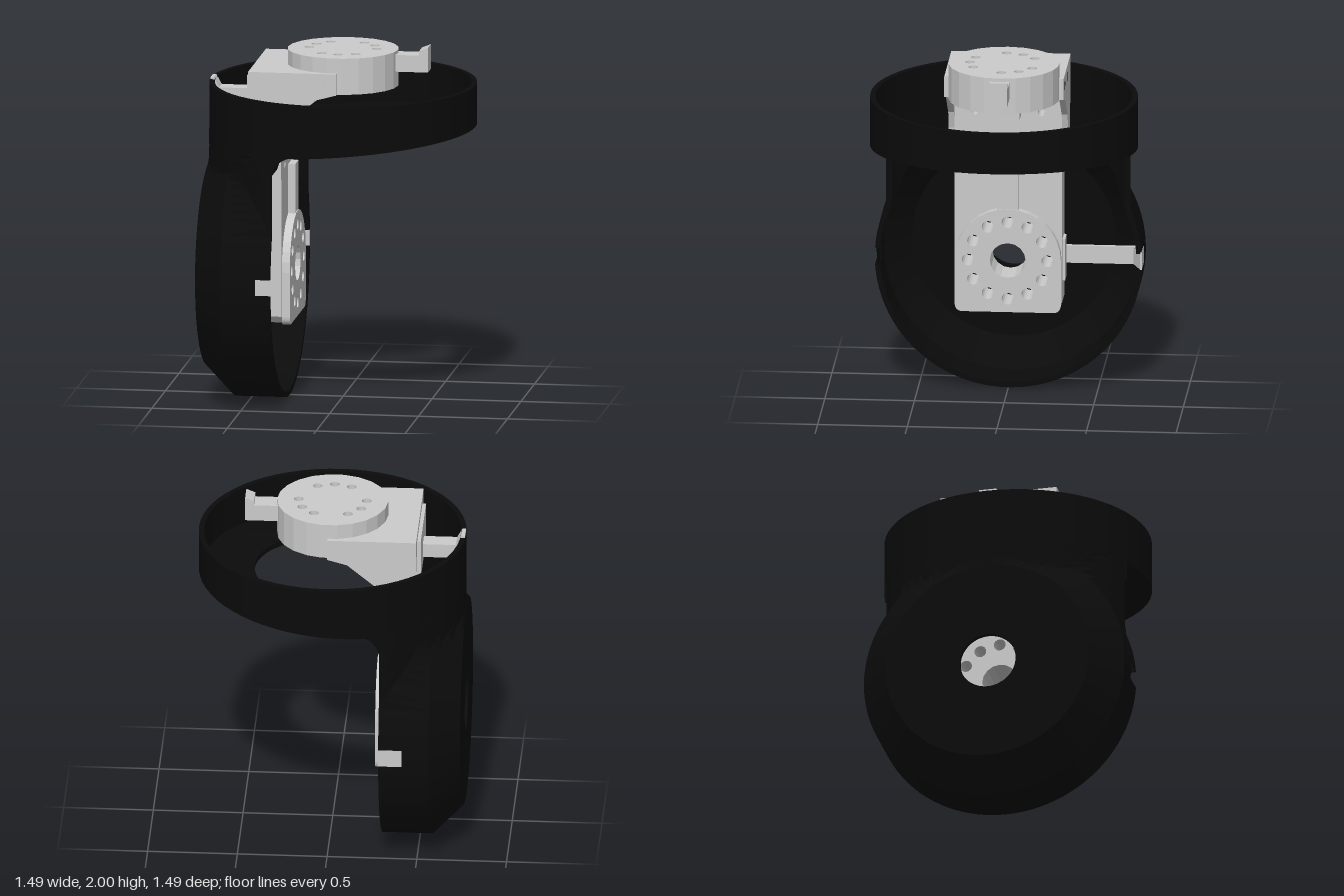
import * as THREE from 'three';

const grey = new THREE.MeshStandardMaterial({ color: 0xcccccc, flatShading: true });
const black = new THREE.MeshStandardMaterial({ color: 0x0b0b0b, flatShading: true, side: THREE.DoubleSide });
const R = 0.745, WALL = 0.03, FRONT = -0.3, AXIS = 0.745;

function add(parent, name, geometry, material = grey) {
  const mesh = new THREE.Mesh(geometry, material);
  mesh.name = name;
  parent.add(mesh);
  return mesh;
}

// Box given by its minimum and maximum on each axis
function box(parent, name, x0, x1, y0, y1, z0, z1) {
  add(parent, name, new THREE.BoxGeometry(x1 - x0, y1 - y0, z1 - z0))
    .position.set((x0 + x1) / 2, (y0 + y1) / 2, (z0 + z1) / 2);
}

const polygon = pts => new THREE.Shape(pts.map(p => new THREE.Vector2(...p)));

function punch(shape, x, y, r) {
  shape.holes.push(new THREE.Path().absarc(x, y, r, 0, Math.PI * 2, true));
}

function extrude(shape, depth, segments = 8) {
  return new THREE.ExtrudeGeometry(shape, { depth, bevelEnabled: false, curveSegments: segments });
}

// Outline drawn in (-z, y), extruded along x from x0 to x1
function extrudeX(shape, x0, x1) {
  return extrude(shape, x1 - x0).rotateY(Math.PI / 2).translate(x0, 0, 0);
}

// Round cup merged with the half-round neck above it, as an inner and outer skin
function housingGeometry() {
  const N = 96, pos = [], index = [];
  const column = (phi, off) => {
    const r = R - off, half = Math.sqrt(r * r - FRONT * FRONT), flat = 0.58 - off * 0.4;
    const c = Math.cos(phi), s = Math.sin(phi);
    const neck = s > 0 ? Math.min(half / Math.max(Math.abs(c), 1e-6), 0.775 / s) : 0;
    const edge = Math.max(r, neck);
    const radii = [0.16, 0.3, 0.45, flat, 0.63, 0.69, r];
    for (let i = 1; i <= 4; i++) radii.push(r + (edge - r) * i / 4);
    const pts = radii.map(q => {
      const z = q * c, y = q * s;
      const cup = q > r + 1e-6 ? FRONT
        : -R + off + Math.max(0, q - flat) / (r - flat) * 0.165;
      const round = y > 0 ? -Math.sqrt(Math.max(0.09, r * r - z * z)) : FRONT;
      return [Math.min(cup, round), AXIS + y, z];
    });
    const last = pts[pts.length - 1];
    for (const x of [-0.43, FRONT]) pts.push([neck > r ? last[0] : x, last[1], last[2]]);
    return pts;
  };
  let rows = 0;
  for (let i = 0; i < N; i++) {
    const phi = i / N * Math.PI * 2;
    const loop = [...column(phi, 0), ...column(phi, WALL).reverse()];
    rows = loop.length;
    pos.push(...loop.flat());
  }
  const half = rows / 2;
  for (let i = 0; i < N; i++) {
    // a slot on either side of the rim
    const slot = [0, 47, 48, 95].includes(i);
    for (let k = 0; k < rows; k++) {
      if (slot && k >= half - 2 && k <= half) continue;
      const a = i * rows + k, b = i * rows + (k + 1) % rows;
      const j = (i + 1) % N, c = j * rows + k, d = j * rows + (k + 1) % rows;
      index.push(a, c, b, b, c, d);
    }
  }
  const g = new THREE.BufferGeometry();
  g.setAttribute('position', new THREE.Float32BufferAttribute(pos, 3));
  g.setIndex(index);
  g.computeVertexNormals();
  return g;
}

// Underside of the ring rises slightly away from the neck
const slopeY = x => 1.48 + Math.max(0, x + 0.18) * 0.076;

function buildShell(root) {
  const shell = new THREE.Group();
  shell.name = 'shell';
  root.add(shell);
  add(shell, 'wheelHousing', housingGeometry(), black);

  // Ring wall
  const profile = [[R, 0], [R, 1], [R - WALL, 1], [R - WALL, 0], [R, 0]].map(p => new THREE.Vector2(...p));
  const wall = new THREE.LatheGeometry(profile, 64);
  const p = wall.attributes.position;
  for (let i = 0; i < p.count; i++) p.setY(i, p.getY(i) > 0.5 ? 1.785 : slopeY(p.getX(i)));
  wall.computeVertexNormals();
  add(shell, 'ringWall', wall, black);

  // Ring floor with a U-shaped opening
  const a = Math.acos(FRONT / R), floor = new THREE.Shape();
  floor.absarc(0, 0, R - 0.01, -a, a, false);
  floor.lineTo(FRONT, 0.46);
  floor.lineTo(-0.27, 0.44);
  floor.lineTo(0, 0.435);
  floor.absarc(0, 0, 0.435, Math.PI / 2, -Math.PI / 2, true);
  floor.lineTo(-0.27, -0.44);
  floor.lineTo(FRONT, -0.46);
  const fg = extrude(floor, WALL, 40).rotateX(-Math.PI / 2);
  const fp = fg.attributes.position;
  for (let i = 0; i < fp.count; i++) fp.setY(i, fp.getY(i) + slopeY(fp.getX(i)));
  fg.computeVertexNormals();
  add(shell, 'ringFloor', fg, black);

  // Curved corners from neck to ring
  for (const side of [1, -1]) {
    const fillet = new THREE.Shape();
    fillet.moveTo(FRONT, 1.37);
    fillet.quadraticCurveTo(-0.28, 1.47, -0.17, 1.482);
    fillet.lineTo(-0.17, 1.5);
    fillet.lineTo(FRONT, 1.5);
    add(shell, 'neckFillet', extrude(fillet, 0.23), black).position.z = side > 0 ? 0.46 : -0.69;
  }
}

function boltCircle(shape) {
  punch(shape, 0, 0.75, 0.1);
  for (let i = 0; i < 12; i++) {
    const t = i * Math.PI / 6;
    punch(shape, 0.222 * Math.cos(t), 0.75 + 0.222 * Math.sin(t), 0.034);
  }
}

function buildLowerDrive(root) {
  const drive = new THREE.Group();
  drive.name = 'lowerDrive';
  root.add(drive);

  // Upright body
  const body = polygon([[-0.26, 0.46], [0.26, 0.46], [0.3, 0.5], [0.3, 1.79], [-0.3, 1.79], [-0.3, 0.5]]);
  boltCircle(body);
  for (const x of [-0.185, 0.185]) for (const y of [1.345, 1.6]) punch(body, x, y, 0.02);
  add(drive, 'uprightBody', extrudeX(body, -0.45, FRONT));

  // Arched mounting face
  const face = new THREE.Shape();
  face.moveTo(-0.26, 0.45);
  face.lineTo(0.26, 0.45);
  face.quadraticCurveTo(0.295, 0.455, 0.297, 0.5);
  face.lineTo(0.297, 0.75);
  face.absarc(0, 0.75, 0.297, 0, Math.PI, false);
  face.lineTo(-0.297, 0.5);
  face.quadraticCurveTo(-0.295, 0.455, -0.26, 0.45);
  boltCircle(face);
  add(drive, 'mountingFace', extrudeX(face, FRONT, -0.255));
  box(drive, 'rib', FRONT, -0.26, 1.0, 1.32, -0.06, 0.06);
  box(drive, 'upperBlock', FRONT, -0.2, 1.58, 1.7, -0.07, 0.07);

  // Side arm with a hooked tip
  box(drive, 'armBase', -0.43, -0.33, 0.62, 0.86, -0.315, -0.3);
  const arm = polygon([[-0.43, 0.3], [-0.405, 0.3], [-0.405, 0.69], [FRONT, 0.735], [FRONT, 0.745], [-0.43, 0.745]]);
  add(drive, 'sideArm', extrude(arm, 0.1).rotateX(-Math.PI / 2)).position.y = 0.7;
}

function buildUpperDrive(root) {
  const drive = new THREE.Group();
  drive.name = 'upperDrive';
  root.add(drive);
  box(drive, 'bracketTop', -0.485, 0, 1.77, 1.89, -0.3, 0.3);
  box(drive, 'backPlate', -0.505, -0.45, 1.62, 1.85, -0.23, 0.23);

  // Gusseted side plates
  const side = polygon([[-0.485, 1.89], [0.01, 1.89], [0.01, 1.77], [-0.1, 1.74], [-0.27, 1.6],
    [FRONT, 1.5], [FRONT, 1.28], [-0.45, 1.28], [-0.45, 1.6], [-0.485, 1.7]]);
  for (const x of [-0.24, -0.08]) punch(side, x, 1.83, 0.028);
  for (const z of [0.3, -0.333]) add(drive, 'sidePlate', extrude(side, 0.033)).position.z = z;

  // Turntable disc with through holes
  const disc = new THREE.Shape().absarc(0, 0, 0.31, 0, Math.PI * 2, false);
  for (const deg of [0, 30, 60, 120, 150, 180, 240, 270, 300]) {
    const t = deg * Math.PI / 180;
    punch(disc, 0.19 * Math.cos(t), 0.19 * Math.sin(t), 0.027);
  }
  // the bracket is cut away beneath the disc
  drive.remove(drive.getObjectByName('bracketTop'));
  const top = polygon([[-0.485, -0.3], [0, -0.3]]);
  top.absarc(0, 0, 0.305, -Math.PI / 2, -Math.PI * 1.5, true);
  top.lineTo(-0.485, 0.3);
  add(drive, 'bracketTop', extrude(top, 0.12, 12).rotateX(-Math.PI / 2)).position.y = 1.77;
  add(drive, 'turntable', extrude(disc, 0.205, 11).rotateX(-Math.PI / 2)).position.y = 1.77;

  // L-shaped stops at the front and rear
  const stop = polygon([[0.29, 1.86], [0.485, 1.86], [0.485, 2], [0.435, 1.98], [0.435, 1.955], [0.29, 1.955]]);
  add(drive, 'turntableStop', extrude(stop, 0.11)).position.z = -0.055;
  const rear = polygon([[-0.5, 1.66], [-0.5, 1.74], [-0.69, 1.74], [-0.72, 1.795], [-0.74, 1.795], [-0.74, 1.66]]);
  add(drive, 'rearStop', extrude(rear, 0.1)).position.z = -0.05;
}

export function createModel() {
  const root = new THREE.Group();
  root.name = 'swivelDriveUnit';
  buildShell(root);
  buildLowerDrive(root);
  buildUpperDrive(root);
  return root;
}
